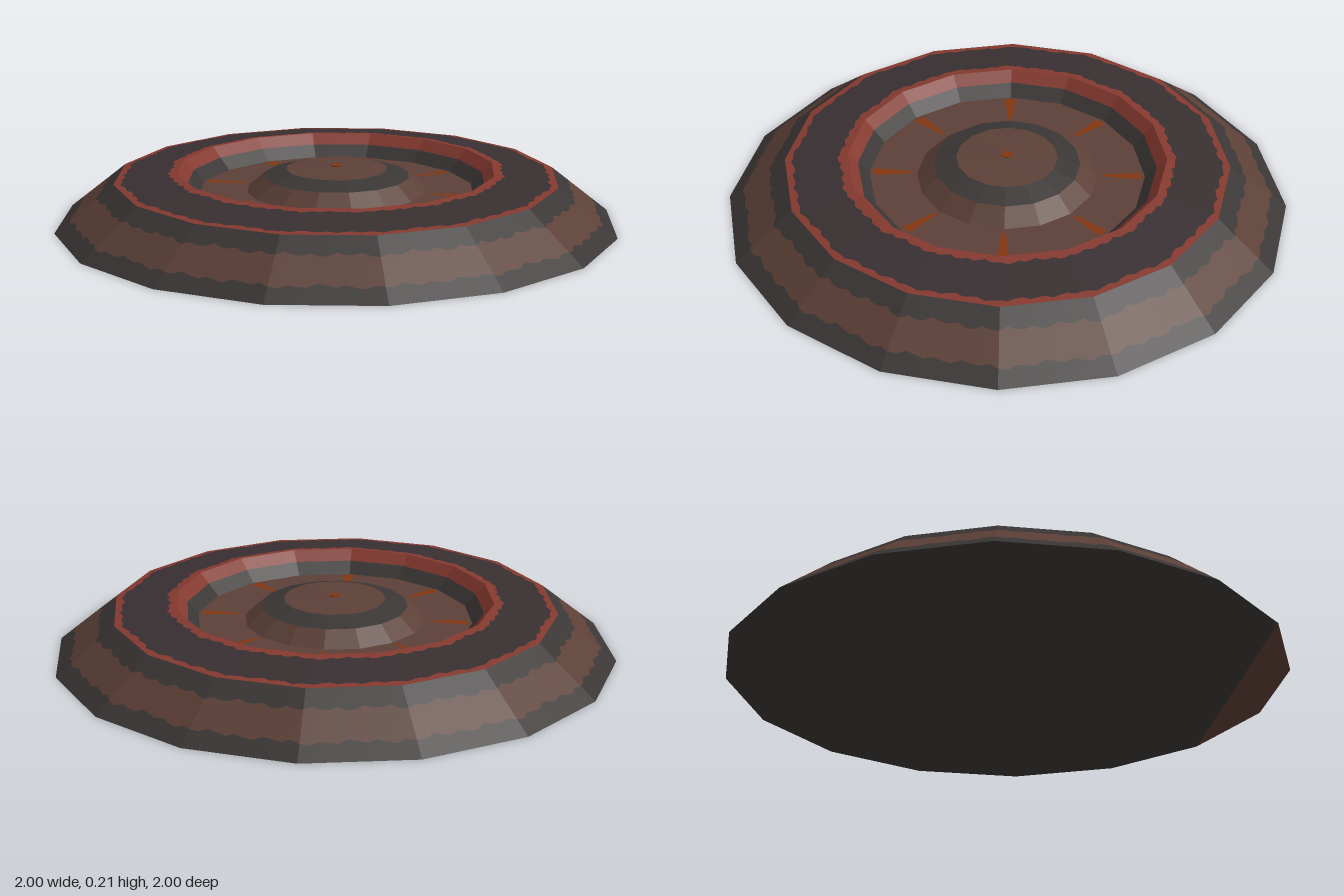
import * as THREE from 'three';

const SIDES = 16;
const STEPS = 12; // samples per side, for the wavy colour edges

// Cross-section corners, from the outer foot to the centre: [radius, height]
const PROFILE = [
  [1, 0], [0.79, 0.168], [0.565, 0.197], [0.49, 0.12],
  [0.32, 0.12], [0.26, 0.172], [0.18, 0.196], [0, 0.206],
];

function heightAt(r) {
  for (let i = 1; i < PROFILE.length; i++) {
    const [r0, y0] = PROFILE[i - 1];
    const [r1, y1] = PROFILE[i];
    if (r >= r1) return y0 + (y1 - y0) * (r0 - r) / (r0 - r1);
  }
  return PROFILE[PROFILE.length - 1][1];
}

// Point on the faceted surface; r is measured along the corner direction
function surfacePoint(r, step) {
  const side = Math.floor(step / STEPS);
  const t = step / STEPS - side;
  const a = side * 2 * Math.PI / SIDES;
  const b = (side + 1) * 2 * Math.PI / SIDES;
  return [
    r * ((1 - t) * Math.sin(a) + t * Math.sin(b)),
    heightAt(r),
    r * ((1 - t) * Math.cos(a) + t * Math.cos(b)),
  ];
}

// Flat-faced geometry from a list of convex polygons
function facesGeometry(polygons) {
  const pos = [];
  for (const p of polygons) {
    for (let i = 1; i < p.length - 1; i++) pos.push(...p[0], ...p[i], ...p[i + 1]);
  }
  const g = new THREE.BufferGeometry();
  g.setAttribute('position', new THREE.Float32BufferAttribute(pos, 3));
  g.computeVertexNormals();
  return g;
}

// Ring between two radii, either edge may ripple
function bandGeometry(outer, inner) {
  const radius = ([r, amp], s) => {
    const u = s * 2 * Math.PI / STEPS;
    return r + amp * (Math.sin(u * 4 + r * 40) + 0.5 * Math.sin(u * 1.5 + r * 90));
  };
  const polygons = [];
  for (let s = 0; s < SIDES * STEPS; s++) {
    const a = surfacePoint(radius(outer, s), s);
    const b = surfacePoint(radius(outer, s + 1), s + 1);
    const c = surfacePoint(radius(inner, s + 1), s + 1);
    const d = surfacePoint(radius(inner, s), s);
    polygons.push(inner[0] === 0 ? [a, b, d] : [a, b, c, d]);
  }
  return facesGeometry(polygons);
}

export function createModel() {
  const group = new THREE.Group();
  const mat = (name, color) => {
    const m = new THREE.MeshStandardMaterial({ color });
    m.name = name;
    return m;
  };
  const brown = mat('brownRock', 0x5c4037);
  const gray = mat('grayRock', 0x3b3636);
  const dark = mat('darkRock', 0x382f31);
  const red = mat('redRock', 0x84392f);
  const orange = mat('emberOrange', 0x823510);

  const add = (name, geometry, material) => {
    const mesh = new THREE.Mesh(geometry, material);
    mesh.name = name;
    group.add(mesh);
    return mesh;
  };

  // Rock layers: name, material, outer edge [radius, ripple], inner edge
  const wave = 0.006;
  const layers = [
    ['footBand', gray, [1, 0], [0.945, wave]],
    ['slopeBand', brown, [0.945, wave], [0.85, wave]],
    ['shoulderBand', gray, [0.85, wave], [0.79, 0]],
    ['shoulderStripe', red, [0.79, 0], [0.765, wave]],
    ['plateau', dark, [0.765, wave], [0.597, wave]],
    ['rimStripe', red, [0.597, wave], [0.565, 0]],
    ['craterWallTop', red, [0.565, 0], [0.53, 0]],
    ['craterWall', gray, [0.53, 0], [0.49, 0]],
    ['craterFloor', brown, [0.49, 0], [0.32, 0]],
    ['moundSlope', brown, [0.32, 0], [0.26, 0]],
    ['moundBand', gray, [0.26, 0], [0.18, 0]],
    ['moundTop', brown, [0.18, 0], [0, 0]],
  ];
  for (const [name, material, outer, inner] of layers) {
    add(name, bandGeometry(outer, inner), material);
  }

  // Ember cracks tapering toward the centre of the crater floor
  const crack = facesGeometry([[[-0.02, 0, 0.475], [0.02, 0, 0.475], [0.006, 0, 0.34], [-0.006, 0, 0.34]]]);
  for (let i = 0; i < 8; i++) {
    const mesh = add('emberCrack', crack, orange);
    mesh.position.y = 0.122;
    mesh.rotation.y = (i + 0.5) * Math.PI / 4;
  }

  // Ember at the peak
  const ember = add('peakEmber', new THREE.CylinderGeometry(0.02, 0.02, 0.004, 8), orange);
  ember.position.y = 0.206;

  // Underside, with one brown patch along the front edge
  const underside = (from, to) => {
    const ring = [];
    for (let k = to; k >= from; k--) {
      const a = k * 2 * Math.PI / SIDES;
      ring.push([Math.sin(a), 0, Math.cos(a)]);
    }
    return facesGeometry([ring]);
  };
  add('underside', underside(2, 15), gray);
  add('undersidePatch', underside(-1, 2), brown);

  return group;
}
